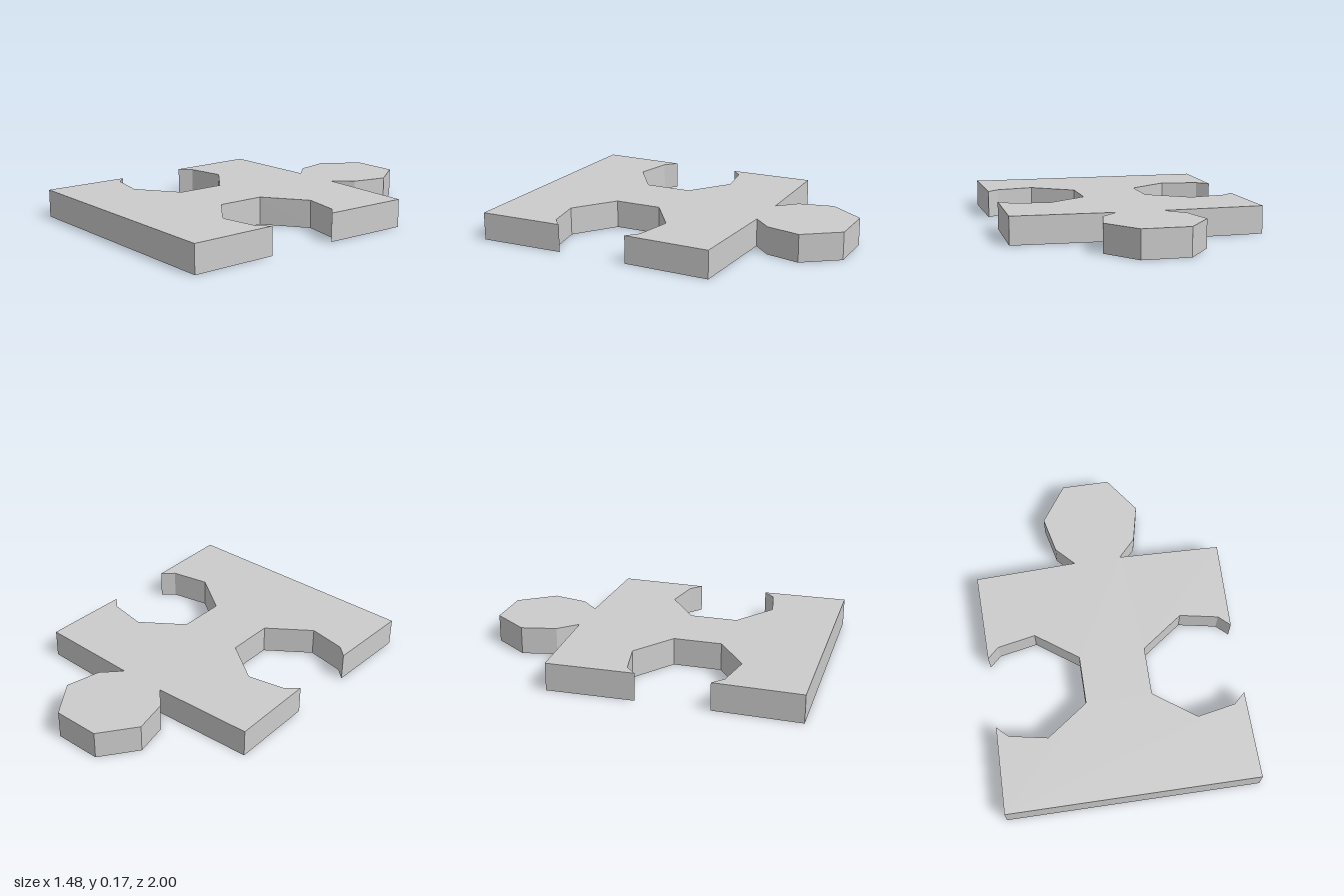
import * as THREE from 'three';

const THICKNESS = 0.165;

// Left half of the outline as [x, z], from the back knob to the front edge
const HALF_OUTLINE = [
  // knob and neck
  [0.14, -1], [0.29, -0.79], [0.243, -0.583], [0.14, -0.475],
  // back corner
  [0.742, -0.455], [0.732, 0.062],
  // side socket
  [0.665, 0], [0.44, -0.043], [0.195, 0.133],
  [0.195, 0.417], [0.44, 0.593], [0.665, 0.55],
  // front corner
  [0.732, 0.488], [0.742, 1],
];

export function createModel() {
  const group = new THREE.Group();
  group.name = 'puzzlePiece';

  // Mirror the half outline; the shape's y becomes -z once laid flat
  const left = HALF_OUTLINE.map(([x, z]) => new THREE.Vector2(x, -z));
  const right = left.map((p) => new THREE.Vector2(-p.x, p.y)).reverse();
  const shape = new THREE.Shape([...left, ...right]);

  const geometry = new THREE.ExtrudeGeometry(shape, { depth: THICKNESS, bevelEnabled: false });
  geometry.rotateX(-Math.PI / 2);

  const material = new THREE.MeshStandardMaterial({ color: 0xcccccc, flatShading: true });
  const body = new THREE.Mesh(geometry, material);
  body.name = 'puzzleBody';
  group.add(body);
  return group;
}
